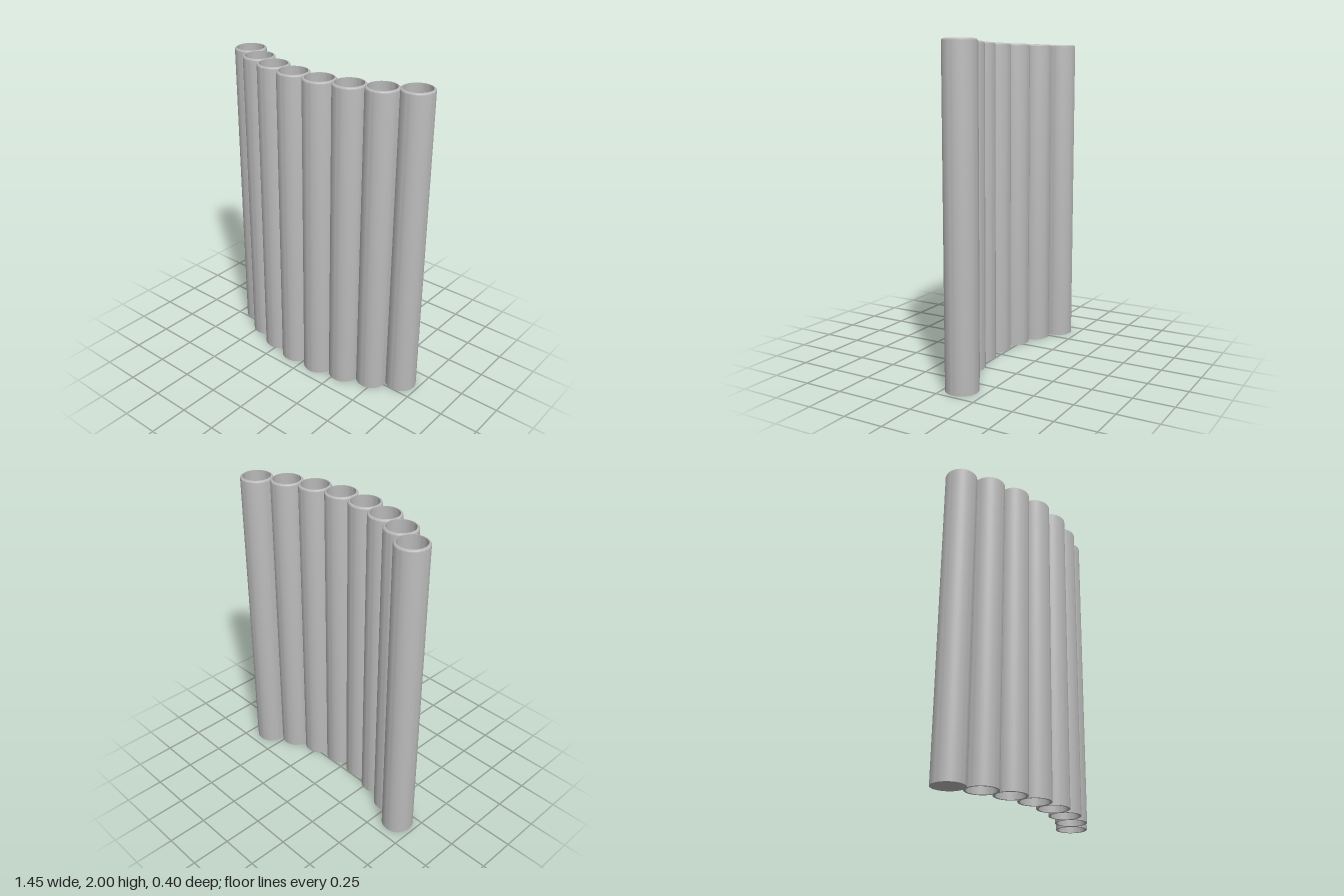
import * as THREE from 'three';
import { toCreasedNormals } from 'three/addons/utils/BufferGeometryUtils.js';

const HEIGHT = 2, OUTER = 0.1, INNER = 0.086, BEVEL = 0.012, SEGMENTS = 64;

// Hollow pipe: square lower end, rounded upper lip, open through the middle
function pipeGeometry() {
  const profile = [
    new THREE.Vector2(INNER, 0),
    new THREE.Vector2(OUTER, 0),
  ];
  for (let i = 0; i <= 4; i++) {
    const a = (i / 4) * Math.PI / 2;
    profile.push(new THREE.Vector2(
      OUTER - BEVEL + BEVEL * Math.cos(a),
      HEIGHT - BEVEL + BEVEL * Math.sin(a)
    ));
  }
  profile.push(new THREE.Vector2(INNER, HEIGHT), new THREE.Vector2(INNER, 0));
  return toCreasedNormals(new THREE.LatheGeometry(profile, SEGMENTS), 0.5);
}

export function createModel() {
  const model = new THREE.Group();
  model.name = 'curvedPipeRow';

  const grey = new THREE.MeshStandardMaterial({ color: 0xb8b8b8 });
  grey.name = 'plain grey';

  const pipeGeo = pipeGeometry();
  const stopperHeight = 0.03;
  const stopperGeo = new THREE.CylinderGeometry(INNER, INNER, stopperHeight, SEGMENTS);

  // Half of the arc as [x, z]; the other half is mirrored
  const half = [[0.627, -0.1], [0.462, -0.002], [0.284, 0.063], [0.097, 0.099]];
  const places = [
    ...half.map(([x, z]) => [-x, z]),
    ...half.slice().reverse(),
  ];

  // Bore lengths follow a major scale, so each stopper sits higher than the last
  const semitones = [0, 2, 4, 5, 7, 9, 11, 12];

  places.forEach(([x, z], i) => {
    const unit = new THREE.Group();
    unit.name = `pipeUnit${i + 1}`;
    unit.position.set(x, 0, z);

    const pipe = new THREE.Mesh(pipeGeo, grey);
    pipe.name = 'pipe';

    const stopper = new THREE.Mesh(stopperGeo, grey);
    stopper.name = 'stopper';
    stopper.position.y = HEIGHT * (1 - 2 ** (-semitones[i] / 12)) + stopperHeight / 2;

    unit.add(pipe, stopper);
    model.add(unit);
  });

  return model;
}
